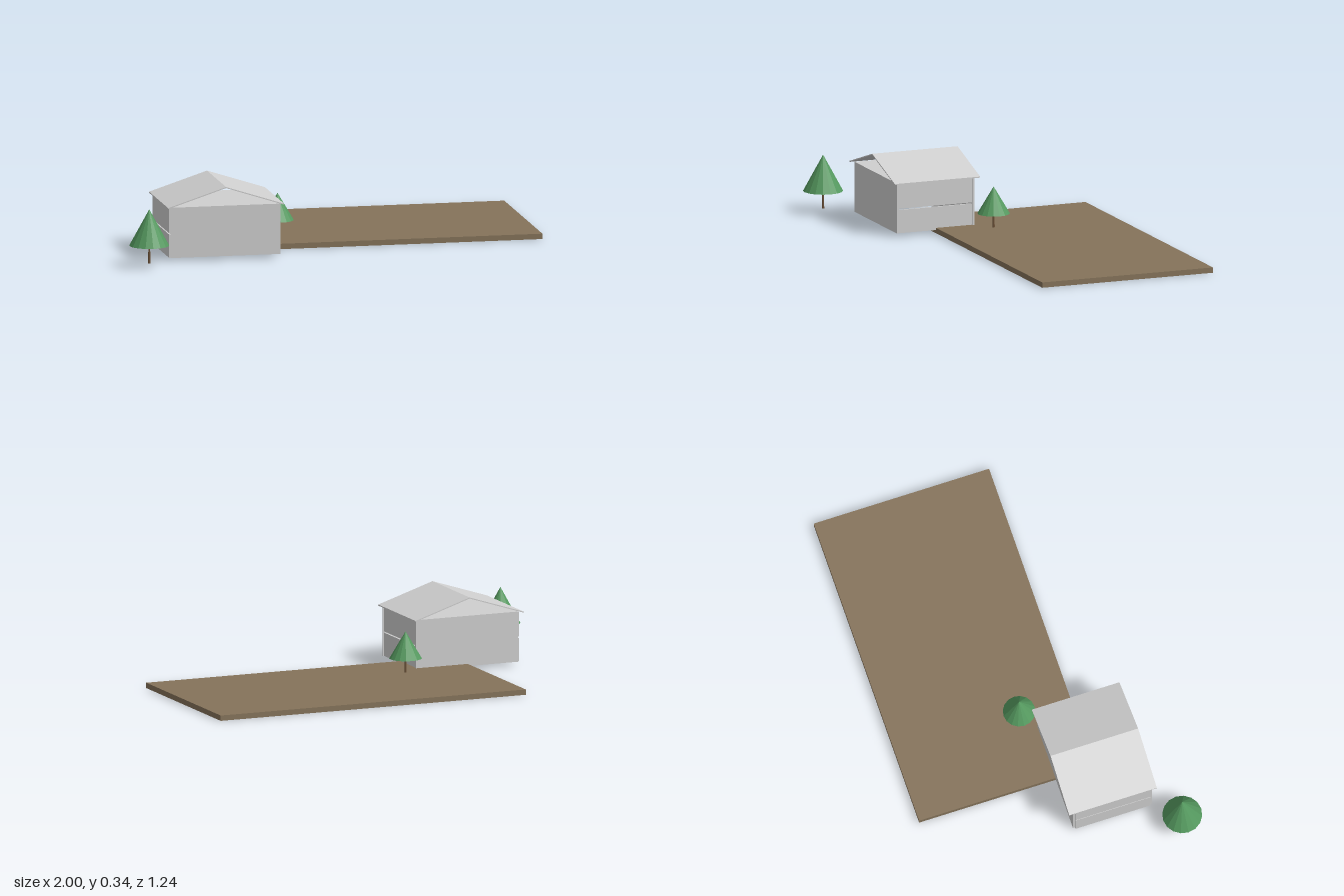
import * as THREE from 'three';

const paint = (name, color, extra = {}) =>
  Object.assign(new THREE.MeshStandardMaterial({ color, ...extra }), { name });

export function createModel() {
  const model = new THREE.Group();
  model.name = 'houseAndPlot';
  const earth = paint('earth', 0x85735a);
  const grey = paint('lightGrey', 0xcfcfcf);
  const leaf = paint('leafGreen', 0x55995f, { flatShading: true });
  const bark = paint('barkBrown', 0x6b5138, { flatShading: true });

  // Box given by its minimum and maximum on each axis
  function box(parent, name, material, [x0, x1], [y0, y1], [z0, z1]) {
    const mesh = new THREE.Mesh(new THREE.BoxGeometry(x1 - x0, y1 - y0, z1 - z0), material);
    mesh.position.set((x0 + x1) / 2, (y0 + y1) / 2, (z0 + z1) / 2);
    mesh.name = name;
    parent.add(mesh);
  }

  // Plot of land
  box(model, 'plot', earth, [-0.53, 1], [0, 0.025], [-0.62, 0.228]);

  // House: thin walls, open underneath
  const house = new THREE.Group();
  house.name = 'house';
  model.add(house);
  box(house, 'frontWall', grey, [-0.783, -0.27], [0.015, 0.245], [0.413, 0.423]);
  box(house, 'backWall', grey, [-0.783, -0.27], [0.015, 0.245], [0.04, 0.05]);
  box(house, 'ceiling', grey, [-0.783, -0.27], [0.245, 0.25], [0.04, 0.423]);

  // Side walls, each of two panels with a seam between them
  for (const [side, x] of [['right', [-0.284, -0.275]], ['left', [-0.791, -0.782]]]) {
    box(house, side + 'LowerPanel', grey, x, [0.015, 0.124], [0.05, 0.413]);
    box(house, side + 'UpperPanel', grey, x, [0.13, 0.245], [0.05, 0.413]);
  }

  // Roof: a thin folded sheet, open at the gables
  const half = 0.272, eave = 0.247, ridge = 0.34, t = 0.005;
  const profile = new THREE.Shape([
    [-half, eave], [-half, eave + t], [0, ridge], [half, eave + t], [half, eave], [0, ridge - t],
  ].map(([x, y]) => new THREE.Vector2(x, y)));
  const roof = new THREE.Mesh(
    new THREE.ExtrudeGeometry(profile, { depth: 0.424, bevelEnabled: false }), grey);
  roof.position.set(-0.529, 0, 0.016);
  roof.name = 'roof';
  house.add(roof);

  // Trees: a faceted cone on a slim trunk
  function tree(name, x, z, base, bottom, top, radius) {
    const group = new THREE.Group();
    group.name = name;
    group.position.set(x, 0, z);
    const crown = new THREE.Mesh(new THREE.ConeGeometry(radius, top - bottom, 16), leaf);
    crown.position.y = (top + bottom) / 2;
    crown.name = 'crown';
    const trunk = new THREE.Mesh(
      new THREE.CylinderGeometry(0.004, 0.006, bottom - base, 8), bark);
    trunk.position.y = (bottom + base) / 2;
    trunk.name = 'trunk';
    group.add(crown, trunk);
    model.add(group);
  }
  tree('largeTree', -0.908, 0.527, 0.015, 0.098, 0.267, 0.092);
  tree('smallTree', -0.19, -0.023, 0.022, 0.09, 0.216, 0.075);

  return model;
}
